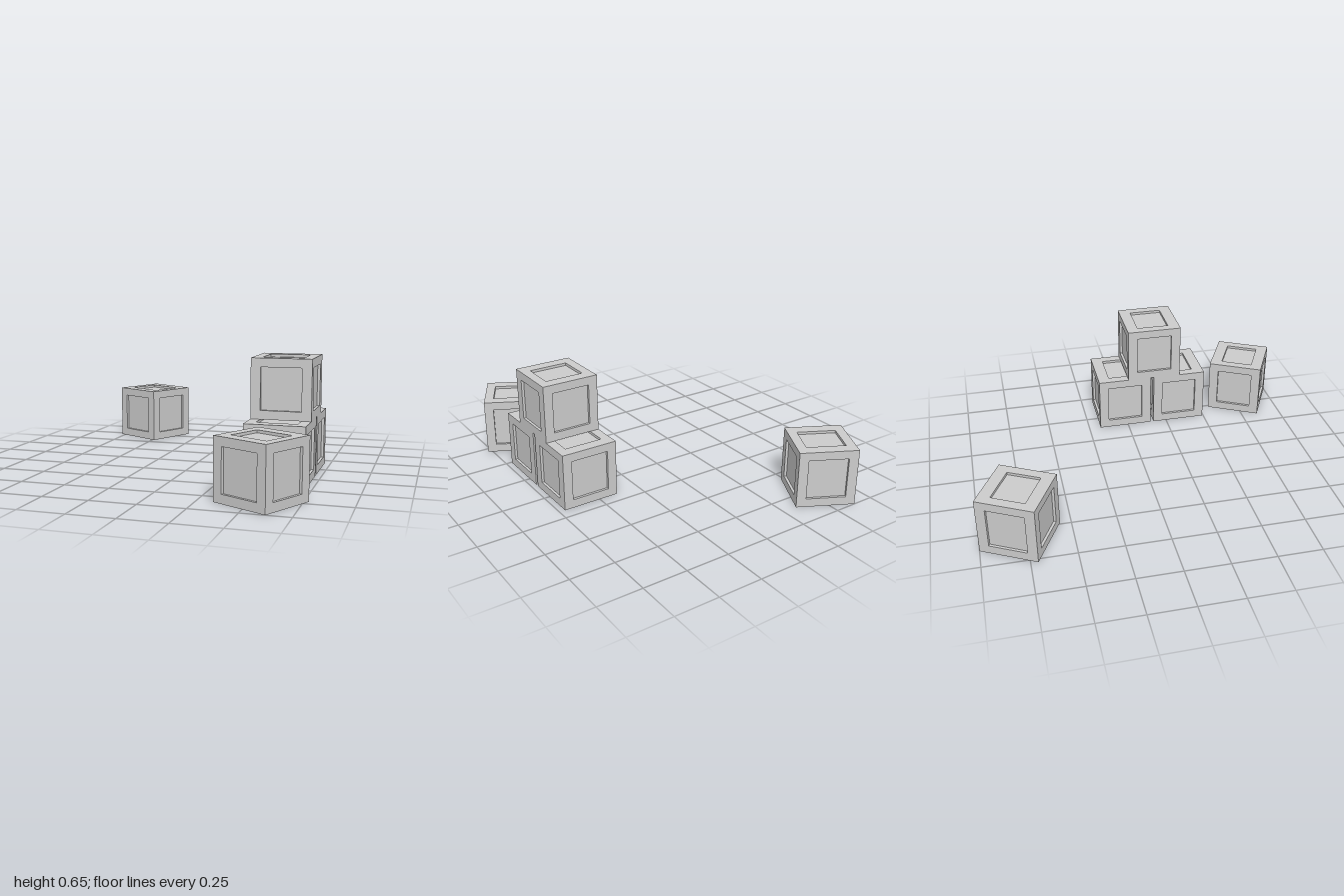
import * as THREE from 'three';
import { mergeGeometries } from 'three/addons/utils/BufferGeometryUtils.js';

const SIZE = 0.326, HALF = SIZE / 2, DEPTH = 0.015;

// One crate side facing +z: flat border, recess walls and sunken panel
function sideGeometry(width, height) {
  const ring = (w, h, z) => [[-w, -h, z], [w, -h, z], [w, h, z], [-w, h, z]];
  const rings = [
    ring(HALF, HALF, HALF),
    ring(width / 2, height / 2, HALF),
    ring(width / 2, height / 2, HALF - DEPTH),
  ];
  const points = [];
  const quad = (a, b, c, d) => points.push(...a, ...b, ...c, ...a, ...c, ...d);
  for (let r = 0; r < 2; r++) {
    for (let i = 0; i < 4; i++) {
      const j = (i + 1) % 4;
      quad(rings[r][i], rings[r][j], rings[r + 1][j], rings[r + 1][i]);
    }
  }
  quad(...rings[2]);
  const geometry = new THREE.BufferGeometry();
  geometry.setAttribute('position', new THREE.Float32BufferAttribute(points, 3));
  geometry.computeVertexNormals();
  return geometry;
}

// Six recessed sides joined into a cube
function crateGeometry() {
  const sides = [];
  for (let i = 0; i < 4; i++) {
    const width = i % 2 ? 0.214 : 0.22;
    sides.push(sideGeometry(width, 0.23).rotateY((i * Math.PI) / 2));
  }
  for (const turn of [-1, 1]) {
    sides.push(sideGeometry(0.22, 0.19).rotateX((turn * Math.PI) / 2));
  }
  return mergeGeometries(sides);
}

export function createModel() {
  const model = new THREE.Group();
  model.name = 'crates';
  const geometry = crateGeometry();
  const material = new THREE.MeshStandardMaterial({ color: 0xcccccc, flatShading: true });
  const turned = THREE.MathUtils.degToRad(-27.4);

  // name, x, level, z, rotation
  const crates = [
    ['stackFrontCrate', 0.553, 0, 0.33, 0],
    ['stackBackCrate', 0.553, 0, -0.016, 0],
    ['stackTopCrate', 0.553, 1, 0.169, 0],
    ['looseFrontCrate', 0.555, 0, 0.78, turned],
    ['looseBackCrate', -0.556, 0, -0.78, turned],
  ];
  for (const [name, x, level, z, angle] of crates) {
    const crate = new THREE.Mesh(geometry, material);
    crate.name = name;
    crate.position.set(x, HALF + level * SIZE, z);
    crate.rotation.y = angle;
    model.add(crate);
  }
  return model;
}
